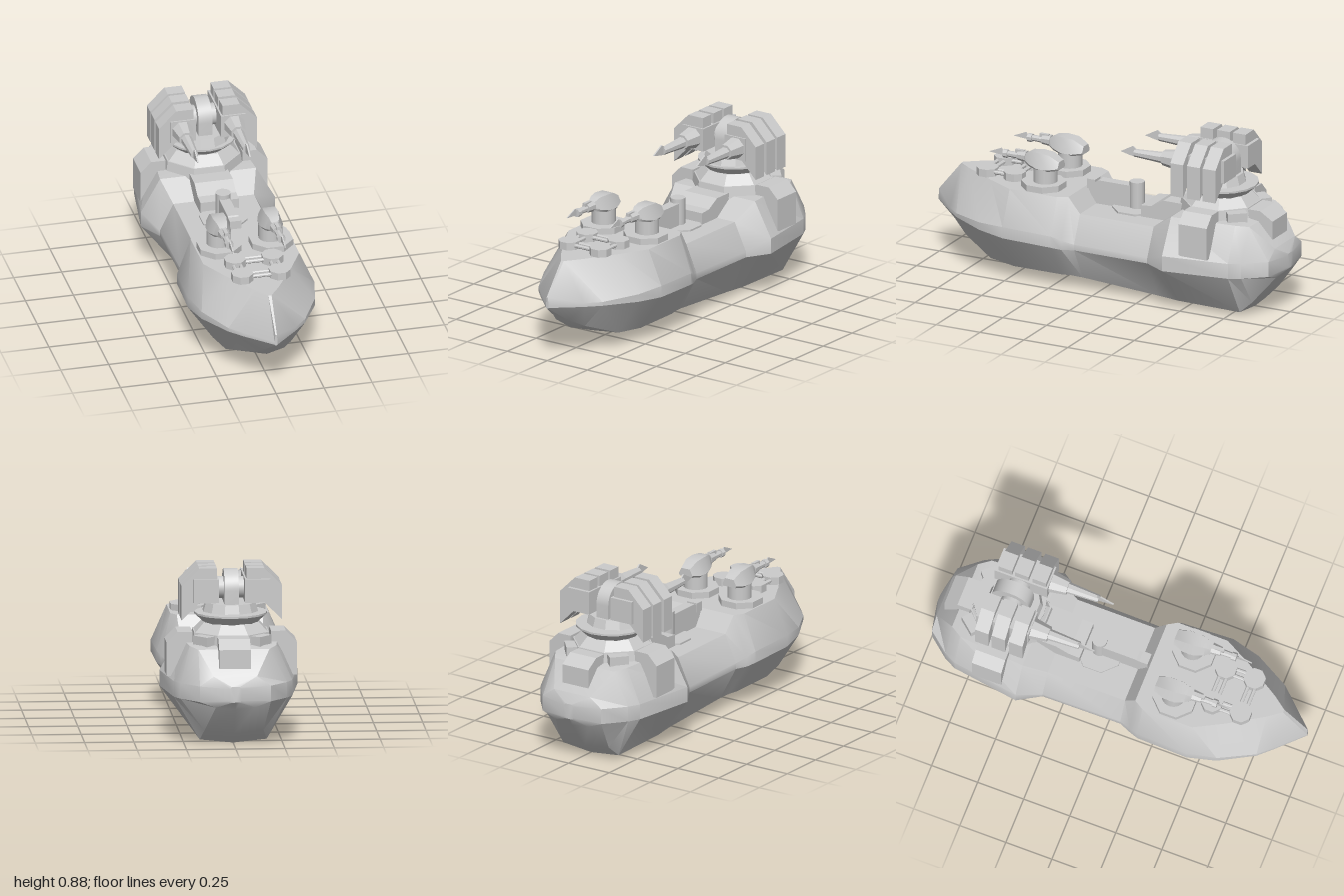
import * as THREE from 'three';
import { toCreasedNormals } from 'three/addons/utils/BufferGeometryUtils.js';

const smooth = new THREE.MeshStandardMaterial({ color: 0xcccccc });
const flat = new THREE.MeshStandardMaterial({ color: 0xcccccc, flatShading: true });
const thin = new THREE.MeshStandardMaterial({ color: 0xcccccc, flatShading: true, side: THREE.DoubleSide });

function add(parent, name, geometry, x = 0, y = 0, z = 0, material = flat) {
  const mesh = new THREE.Mesh(geometry, material);
  mesh.name = name;
  mesh.position.set(x, y, z);
  parent.add(mesh);
  return mesh;
}

const box = (w, h, d) => new THREE.BoxGeometry(w, h, d);
// Vertical octagonal (or n-sided) drum with a flat side facing forward
const drum = (rTop, rBottom, h, n = 8) => new THREE.CylinderGeometry(rTop, rBottom, h, n).rotateY(Math.PI / n);
// Cylinder along z, rFront at the +z end
const rod = (rFront, rBack, len, n = 8) => new THREE.CylinderGeometry(rFront, rBack, len, n).rotateY(Math.PI / n).rotateX(Math.PI / 2);
// Outline in (x, y) centred on z
function slab(points, depth) {
  const shape = new THREE.Shape(points.map(([x, y]) => new THREE.Vector2(x, y)));
  return new THREE.ExtrudeGeometry(shape, { depth, bevelEnabled: false }).translate(0, 0, -depth / 2);
}
// Outline in (z, y) extruded across x
const sideSlab = (points, width) => slab(points, width).rotateY(-Math.PI / 2);

// Skin over closed rings of [x, y, z], running front to back, counter-clockwise from the front
function loft(rings, crease) {
  const n = rings[0].length, pos = rings.flat(2), index = [];
  for (let i = 0; i < rings.length - 1; i++) {
    for (let j = 0; j < n; j++) {
      const a = i * n + j, b = i * n + (j + 1) % n, c = a + n, d = b + n;
      index.push(a, c, b, b, c, d);
    }
  }
  const last = (rings.length - 1) * n;
  for (let j = 1; j < n - 1; j++) {
    index.push(0, j, j + 1, last, last + j + 1, last + j);
  }
  const geo = new THREE.BufferGeometry();
  geo.setAttribute('position', new THREE.Float32BufferAttribute(pos, 3));
  geo.setIndex(index);
  return toCreasedNormals(geo.toNonIndexed(), crease);
}

// Hull stations: z, keel y, bilge half width, bilge y, belt half width, belt low y, belt high y, deck half width, deck y
const STATIONS = [
  [1.0, 0.28, 0.004, 0.28, 0.008, 0.285, 0.3, 0.004, 0.34],
  [0.87, 0.17, 0.04, 0.19, 0.135, 0.28, 0.3, 0.008, 0.5],
  [0.8, 0.125, 0.09, 0.15, 0.2, 0.28, 0.3, 0.06, 0.5],
  [0.62, 0.06, 0.17, 0.08, 0.295, 0.27, 0.31, 0.17, 0.5],
  [0.47, 0.05, 0.2, 0.07, 0.33, 0.26, 0.32, 0.25, 0.5],
  [0.2, 0.05, 0.2, 0.07, 0.32, 0.25, 0.31, 0.25, 0.5],
  [0.15, 0.052, 0.19, 0.07, 0.3, 0.24, 0.29, 0.22, 0.5],
  [0.09, 0.055, 0.18, 0.065, 0.275, 0.24, 0.27, 0.21, 0.415],
  [-0.33, 0.015, 0.16, 0.03, 0.28, 0.24, 0.27, 0.21, 0.415],
  [-0.45, 0.005, 0.17, 0.025, 0.35, 0.24, 0.32, 0.25, 0.5],
  [-0.8, 0.002, 0.17, 0.02, 0.3, 0.24, 0.32, 0.22, 0.5],
  [-0.86, 0.055, 0.15, 0.075, 0.27, 0.24, 0.32, 0.18, 0.49],
  [-0.97, 0.2, 0.1, 0.21, 0.18, 0.24, 0.32, 0.11, 0.37],
  [-1.0, 0.24, 0.02, 0.24, 0.03, 0.25, 0.31, 0.02, 0.32],
];

function hull() {
  return loft(STATIONS.map(([z, yk, wb, yb, w, yl, yh, wd, yd]) => [
    [0, yk, z], [wb, yb, z], [w, yl, z], [w, yh, z], [wd, yd, z],
    [-wd, yd, z], [-w, yh, z], [-w, yl, z], [-wb, yb, z],
  ]), 0.5);
}

// Small foredeck gun turret
function foreTurret(s) {
  const g = new THREE.Group();
  g.name = 'foreTurret';
  add(g, 'turretBase', drum(0.115, 0.115, 0.035), 0, 0.515, 0.335);
  add(g, 'turretNeck', new THREE.CylinderGeometry(0.062, 0.062, 0.09, 16), 0, 0.565, 0.325, smooth);
  // Head sections: z, low y, mid y, top y, mid half width, top half width
  const sections = [
    [0.44, 0.625, 0.635, 0.66, 0.022, 0.015],
    [0.40, 0.61, 0.622, 0.683, 0.045, 0.026],
    [0.35, 0.6, 0.61, 0.687, 0.06, 0.035],
    [0.29, 0.6, 0.61, 0.682, 0.06, 0.034],
    [0.235, 0.61, 0.62, 0.652, 0.042, 0.026],
  ];
  add(g, 'turretHead', loft(sections.map(([z, yl, ym, yt, w, wt]) => [
    [w * 0.85, yl, z], [w, ym, z], [wt, yt, z], [-wt, yt, z], [-w, ym, z], [-w * 0.85, yl, z],
  ]), 0.6), 0, 0, 0, smooth);
  add(g, 'gunCollar', rod(0.024, 0.03, 0.05), 0, 0.645, 0.455);
  add(g, 'gunBarrel', rod(0.015, 0.018, 0.08), 0, 0.643, 0.505);
  add(g, 'gunMuzzle', rod(0.022, 0.022, 0.025), 0, 0.642, 0.55);
  add(g, 'gunSight', box(0.018, 0.018, 0.05), 0, 0.667, 0.47);
  add(g, 'gunSpike', sideSlab([[0.55, 0.63], [0.645, 0.638], [0.575, 0.668]], 0.006), 0, 0, 0, thin);
  g.position.x = 0.135 * s;
  return g;
}

// One side of the main gun: armour plates, core and barrel
function mainGun(s) {
  const g = new THREE.Group();
  g.name = 'mainGun';
  const plate = [[0.075, 0.88], [0.165, 0.88], [0.255, 0.79], [0.255, 0.615], [0.165, 0.705], [0.165, 0.82], [0.075, 0.82]];
  for (const z of [-0.485, -0.58, -0.67]) {
    add(g, 'armourPlate', slab(plate.map(([x, y]) => [x * s, y]), 0.073), 0, 0, z);
  }
  add(g, 'gunCore', box(0.13, 0.12, 0.285), 0.131 * s, 0.765, -0.582);
  add(g, 'barrelSocket', rod(0.04, 0.056, 0.09), 0.135 * s, 0.767, -0.395);
  add(g, 'barrel', rod(0.02, 0.03, 0.17), 0.135 * s, 0.765, -0.27);
  add(g, 'barrelSpike', sideSlab([[-0.195, 0.745], [-0.165, 0.748], [-0.105, 0.762], [-0.175, 0.8], [-0.195, 0.785]], 0.008), 0.135 * s, 0, 0, thin)
    .geometry.translate(0, 0, 0);
  return g;
}

export function createModel() {
  const model = new THREE.Group();
  model.name = 'gunboat';
  add(model, 'hull', hull(), 0, 0, 0, smooth);

  // Foredeck fittings: four octagonal bollards joined by paired pipes
  const fittings = new THREE.Group();
  fittings.name = 'deckFittings';
  model.add(fittings);
  for (const x of [-0.097, 0.097]) {
    for (const z of [0.52, 0.675]) add(fittings, 'bollard', drum(0.057, 0.057, 0.04), x, 0.52, z);
    for (const d of [-0.018, 0.018]) add(fittings, 'sidePipe', rod(0.01, 0.01, 0.1), x + d, 0.522, 0.597);
  }
  for (const z of [0.52, 0.675]) {
    for (const d of [-0.018, 0.018]) {
      add(fittings, 'crossPipe', rod(0.01, 0.01, 0.12).rotateY(Math.PI / 2), 0, 0.522, z + d);
    }
  }
  for (const s of [-1, 1]) model.add(foreTurret(s));

  // Midships walkway, post and forward block of the tower
  add(model, 'walkway', sideSlab([[0.14, 0.5], [0.08, 0.54], [-0.1, 0.54], [-0.1, 0.41], [0.1, 0.41]], 0.055));
  add(model, 'walkwayEnd', box(0.06, 0.05, 0.045), 0, 0.515, 0.12);
  add(model, 'deckRing', drum(0.125, 0.125, 0.015), 0, 0.417, -0.125);
  add(model, 'post', new THREE.CylinderGeometry(0.039, 0.039, 0.155, 12), 0, 0.485, -0.128, smooth);
  add(model, 'towerStep', sideSlab([[-0.2, 0.41], [-0.2, 0.475], [-0.26, 0.48], [-0.33, 0.52], [-0.48, 0.52], [-0.48, 0.41]], 0.2));

  // Tower base
  add(model, 'towerBase', drum(0.205, 0.215, 0.06), 0, 0.52, -0.61);
  add(model, 'towerCone', drum(0.15, 0.2, 0.05), 0, 0.573, -0.61);
  add(model, 'towerBowl', new THREE.CylinderGeometry(0.185, 0.13, 0.05, 16), 0, 0.612, -0.615, smooth);
  add(model, 'towerRim', new THREE.CylinderGeometry(0.185, 0.185, 0.01, 16), 0, 0.641, -0.615, smooth);
  add(model, 'turntable', drum(0.13, 0.145, 0.05, 12), 0, 0.667, -0.59);
  for (const s of [-1, 1]) {
    add(model, 'sidePod', slab([[0.2, 0.555], [0.275, 0.555], [0.33, 0.5], [0.33, 0.33], [0.2, 0.33]].map(([x, y]) => [x * s, y]), 0.16), 0, 0, -0.615);
    add(model, 'cornerBlock', box(0.07, 0.05, 0.1), 0.14 * s, 0.52, -0.765).rotation.y = s * 0.7;
  }
  add(model, 'sternBox', sideSlab([[-0.78, 0.545], [-0.87, 0.545], [-0.94, 0.5], [-0.94, 0.39], [-0.78, 0.39]], 0.16));

  // Main gun: round-topped upright, axle and the two gun sides
  const arch = new THREE.Shape();
  arch.moveTo(-0.7, 0.64);
  arch.lineTo(-0.5, 0.64);
  arch.lineTo(-0.5, 0.762);
  arch.absarc(-0.6, 0.762, 0.1, 0, Math.PI, false);
  const archGeo = new THREE.ExtrudeGeometry(arch, { depth: 0.072, bevelEnabled: false, curveSegments: 12 })
    .translate(0, 0, -0.036).rotateY(-Math.PI / 2);
  add(model, 'gunUpright', toCreasedNormals(archGeo, 0.6), 0, 0, 0, smooth);
  add(model, 'gunAxle', new THREE.CylinderGeometry(0.056, 0.056, 0.16, 16).rotateZ(Math.PI / 2), 0, 0.765, -0.59, smooth);
  for (const s of [-1, 1]) model.add(mainGun(s));

  return model;
}
